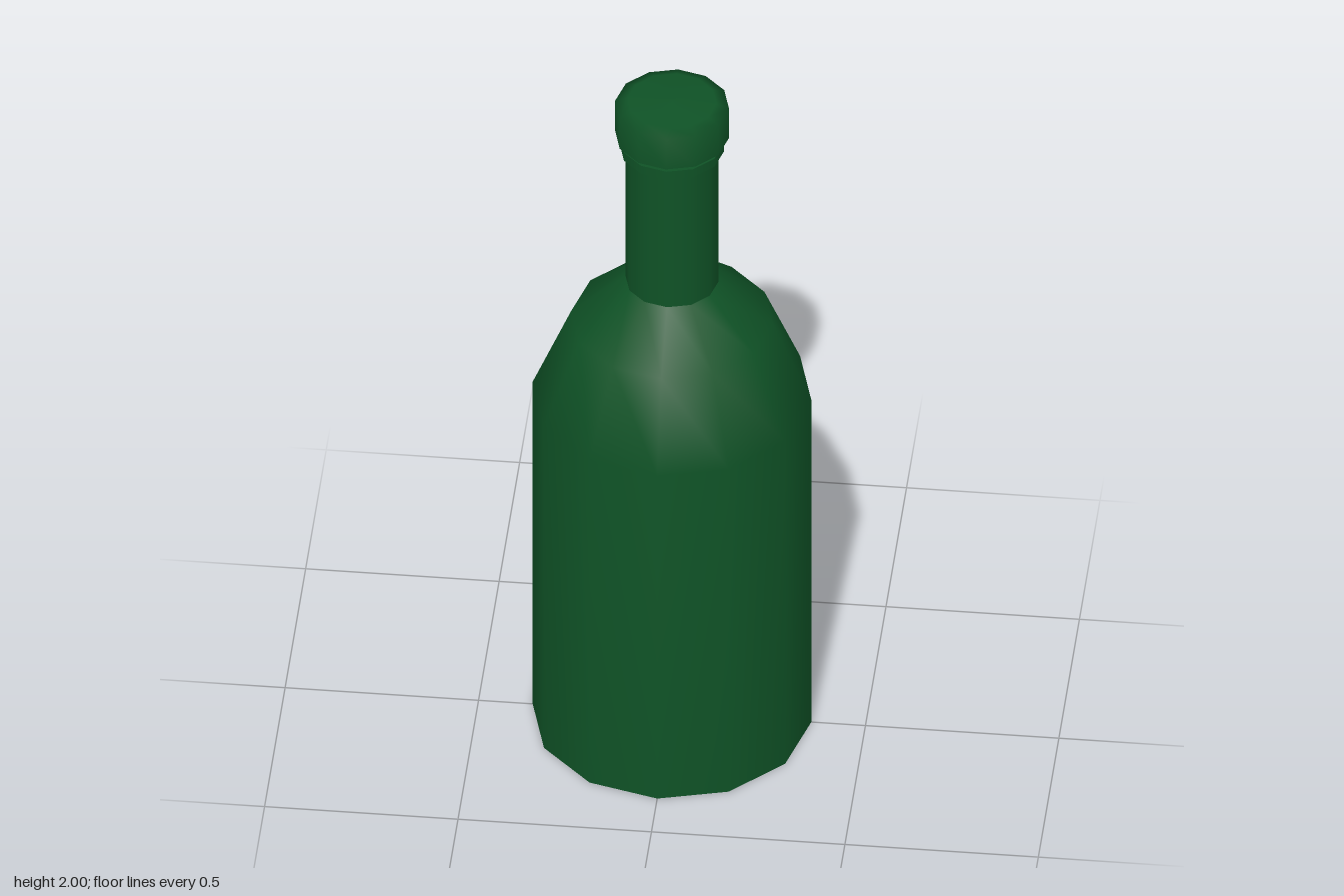
import * as THREE from 'three';

const SIDES = 12;

export function createModel() {
  const group = new THREE.Group();
  group.name = 'bottle';
  const glass = new THREE.MeshStandardMaterial({ color: 0x0f5226 });
  glass.name = 'dark green glass';

  // Each profile runs upward/outward and is smooth; separate profiles meet at sharp edges
  const turn = (name, profile) => {
    const points = profile.map(([r, y]) => new THREE.Vector2(r, y));
    const mesh = new THREE.Mesh(new THREE.LatheGeometry(points, SIDES), glass);
    mesh.name = name;
    group.add(mesh);
  };

  // Flat base, then straight body with sloped shoulders
  turn('base', [[0, 0], [0.36, 0]]);
  turn('body', [[0.36, 0], [0.36, 1.05], [0.26, 1.29], [0.12, 1.415]]);
  turn('neck', [[0.12, 1.415], [0.12, 1.89]]);

  // Thin collar below the cap
  turn('collarUnderside', [[0.115, 1.842], [0.135, 1.842]]);
  turn('collarSide', [[0.135, 1.842], [0.135, 1.868]]);
  turn('collarTop', [[0.135, 1.868], [0.115, 1.868]]);

  // Cap with a slightly domed top
  turn('capUnderside', [[0.115, 1.885], [0.147, 1.885]]);
  turn('cap', [[0.147, 1.885], [0.147, 1.983], [0.115, 1.994], [0, 2]]);

  return group;
}
